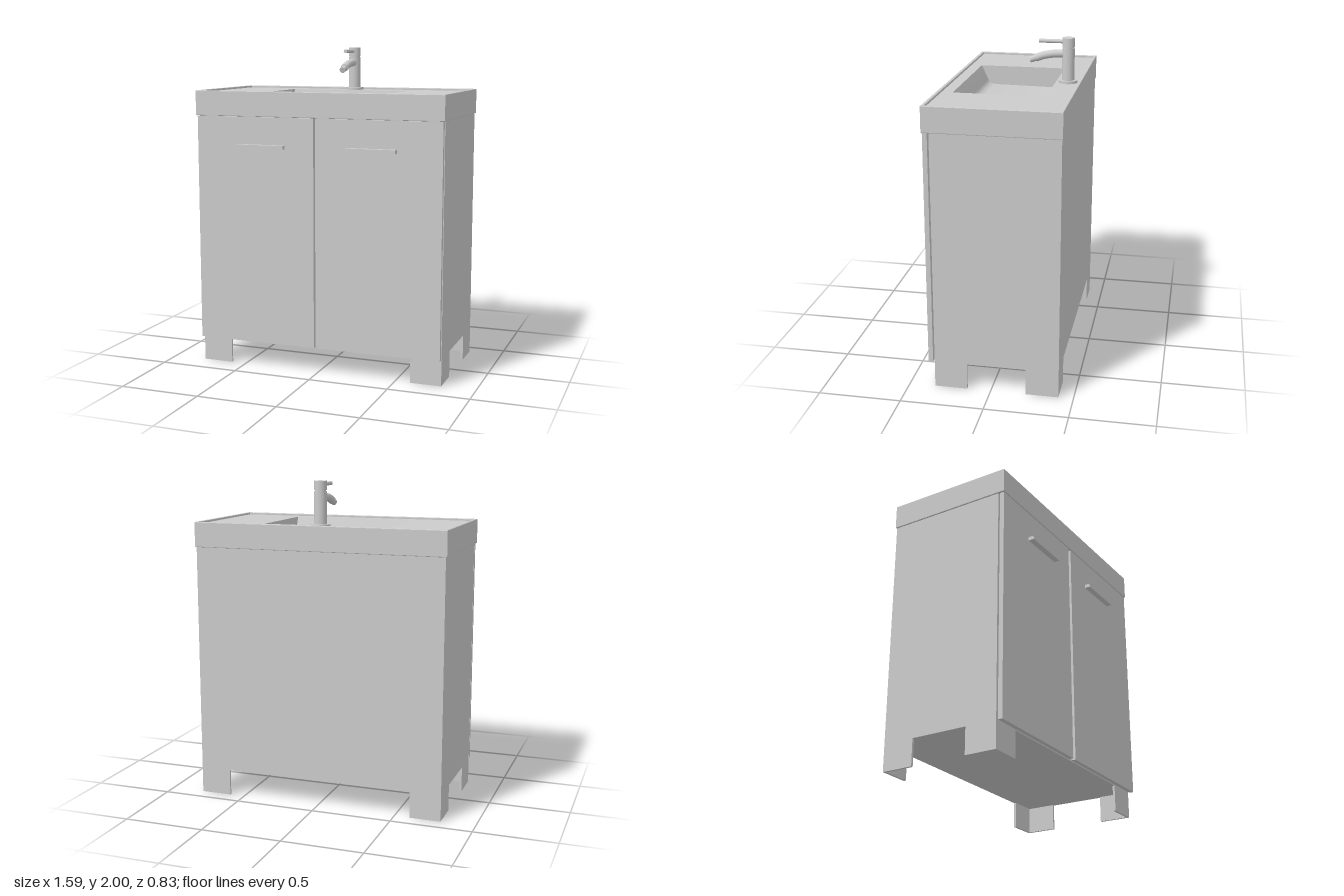
import * as THREE from 'three';
import { toCreasedNormals } from 'three/addons/utils/BufferGeometryUtils.js';

export function createModel() {
  const root = new THREE.Group();
  const mat = new THREE.MeshStandardMaterial({ color: 0xcccccc });

  function add(name, geo, x = 0, y = 0, z = 0, parent = root) {
    const mesh = new THREE.Mesh(geo, mat);
    mesh.name = name;
    mesh.position.set(x, y, z);
    parent.add(mesh);
    return mesh;
  }
  // Box given by its limits
  function box(name, x0, x1, y0, y1, z0, z1, parent) {
    return add(name, new THREE.BoxGeometry(x1 - x0, y1 - y0, z1 - z0),
      (x0 + x1) / 2, (y0 + y1) / 2, (z0 + z1) / 2, parent);
  }
  const polygon = pts => new THREE.Shape(pts.map(p => new THREE.Vector2(...p)));
  const cylinder = (r, h, seg = 40) => new THREE.CylinderGeometry(r, r, h, seg);

  // Cabinet: thin panels whose lower edges are cut away to leave corner legs
  const cabinet = new THREE.Group();
  cabinet.name = 'cabinet';
  root.add(cabinet);
  const X = 0.788, BACK = -0.41, FRONT = 0.342, T = 0.014, LEG = 0.163, TOP = 1.6;
  const panel = (a, b, leg) => new THREE.ExtrudeGeometry(polygon([
    [a, 0], [a + leg, 0], [a + leg, LEG], [b - leg, LEG], [b - leg, 0], [b, 0], [b, TOP], [a, TOP],
  ]), { depth: T, bevelEnabled: false });
  add('frontPanel', panel(-X, X, 0.193), 0, 0, FRONT - T, cabinet);
  add('backPanel', panel(-X, X, 0.193), 0, 0, BACK, cabinet);
  for (const s of [1, -1]) {
    const side = panel(BACK + 0.001, FRONT - 0.001, 0.197).rotateY(-Math.PI / 2);
    add(s > 0 ? 'leftPanel' : 'rightPanel', side, s > 0 ? X : -X + T, 0, 0, cabinet);
  }
  box('cabinetFloor', -X + T, X - T, LEG, LEG + 0.02, BACK + T, FRONT - T, cabinet);

  // Doors with bar handles
  for (const s of [1, -1]) {
    const side = s > 0 ? 'left' : 'right';
    const span = (a, b) => s > 0 ? [a, b] : [-b, -a];
    box(side + 'Door', ...span(0.014, 0.787), LEG, 1.583, 0.352, 0.38);
    box(side + 'DoorSpacer', ...span(0.1, 0.7), 0.3, 1.5, FRONT - 0.005, 0.354);
    box(side + 'Handle', ...span(0.2, 0.51), 1.392, 1.415, 0.378, 0.416);
  }

  // Washbasin: raised outer rim
  const basin = new THREE.Group();
  basin.name = 'washbasin';
  root.add(basin);
  const rect = (x, z0, z1) => [[-x, -z1], [x, -z1], [x, -z0], [-x, -z0]];
  const rim = polygon(rect(0.792, -0.411, 0.381));
  rim.holes.push(polygon(rect(0.78, -0.399, 0.369)));
  const rimGeo = new THREE.ExtrudeGeometry(rim, {
    depth: 0.147, bevelThickness: 0.004, bevelSize: 0.004, bevelSegments: 2,
  });
  add('rim', rimGeo.rotateX(-Math.PI / 2), 0, 1.589, 0, basin);

  // Deck: side profile swept across x, with the bowl dip in the middle part
  const DECK = 1.727, UNDER = 1.587, FLOOR = 1.6, BOWL = 0.395;
  function deck(x0, x1, dip) {
    const s = new THREE.Shape();
    s.moveTo(-0.402, UNDER);
    s.lineTo(0.372, UNDER);
    s.lineTo(0.372, DECK);
    if (dip) {
      s.lineTo(0.297, DECK);
      s.lineTo(0.255, FLOOR + 0.04);
      s.quadraticCurveTo(0.245, FLOOR + 0.008, 0.2, FLOOR + 0.005);
      s.lineTo(-0.16, FLOOR);
      s.quadraticCurveTo(-0.225, FLOOR, -0.235, FLOOR + 0.055);
      s.lineTo(-0.255, DECK);
    }
    s.lineTo(-0.402, DECK);
    s.closePath();
    const geo = new THREE.ExtrudeGeometry(s, { depth: x1 - x0, bevelEnabled: false, curveSegments: 10 });
    return toCreasedNormals(geo.rotateY(-Math.PI / 2).translate(x1, 0, 0), 0.6);
  }
  add('bowl', deck(-BOWL, BOWL, true), 0, 0, 0, basin);
  add('leftDeck', deck(BOWL, 0.782, false), 0, 0, 0, basin);
  add('rightDeck', deck(-0.782, -BOWL, false), 0, 0, 0, basin);

  // Tap: flange, body, cap, lever and curved spout
  const tap = new THREE.Group();
  tap.name = 'tap';
  tap.position.z = -0.33;
  root.add(tap);
  add('flange', cylinder(0.058, 0.02), 0, 1.733, 0, tap);
  add('body', cylinder(0.038, 0.21), 0, 1.833, 0, tap);
  add('neck', cylinder(0.033, 0.012), 0, 1.942, 0, tap);
  add('cap', cylinder(0.038, 0.055), 0, 1.9725, 0, tap);
  const lever = add('lever', cylinder(0.012, 0.16, 20), 0, 1.977, 0.1, tap);
  lever.rotation.x = Math.PI / 2;

  const path = new THREE.CatmullRomCurve3([
    [0.02, 1.904], [0.09, 1.9], [0.15, 1.889], [0.195, 1.873],
  ].map(([z, y]) => new THREE.Vector3(0, y, z)));
  add('spout', new THREE.TubeGeometry(path, 20, 0.024, 24), 0, 0, 0, tap);

  // Outlet nozzle closing the spout end
  const end = path.getPoint(1), dir = path.getTangent(1);
  const up = new THREE.Vector3(0, 1, 0);
  const collar = add('spoutEnd', cylinder(0.024, 0.008, 24), 0, 0, 0, tap);
  const nozzle = add('nozzle', cylinder(0.019, 0.07, 24), 0, 0, 0, tap);
  collar.position.copy(end);
  nozzle.position.copy(end).addScaledVector(dir, 0.008);
  for (const m of [collar, nozzle]) m.quaternion.setFromUnitVectors(up, dir);

  return root;
}
